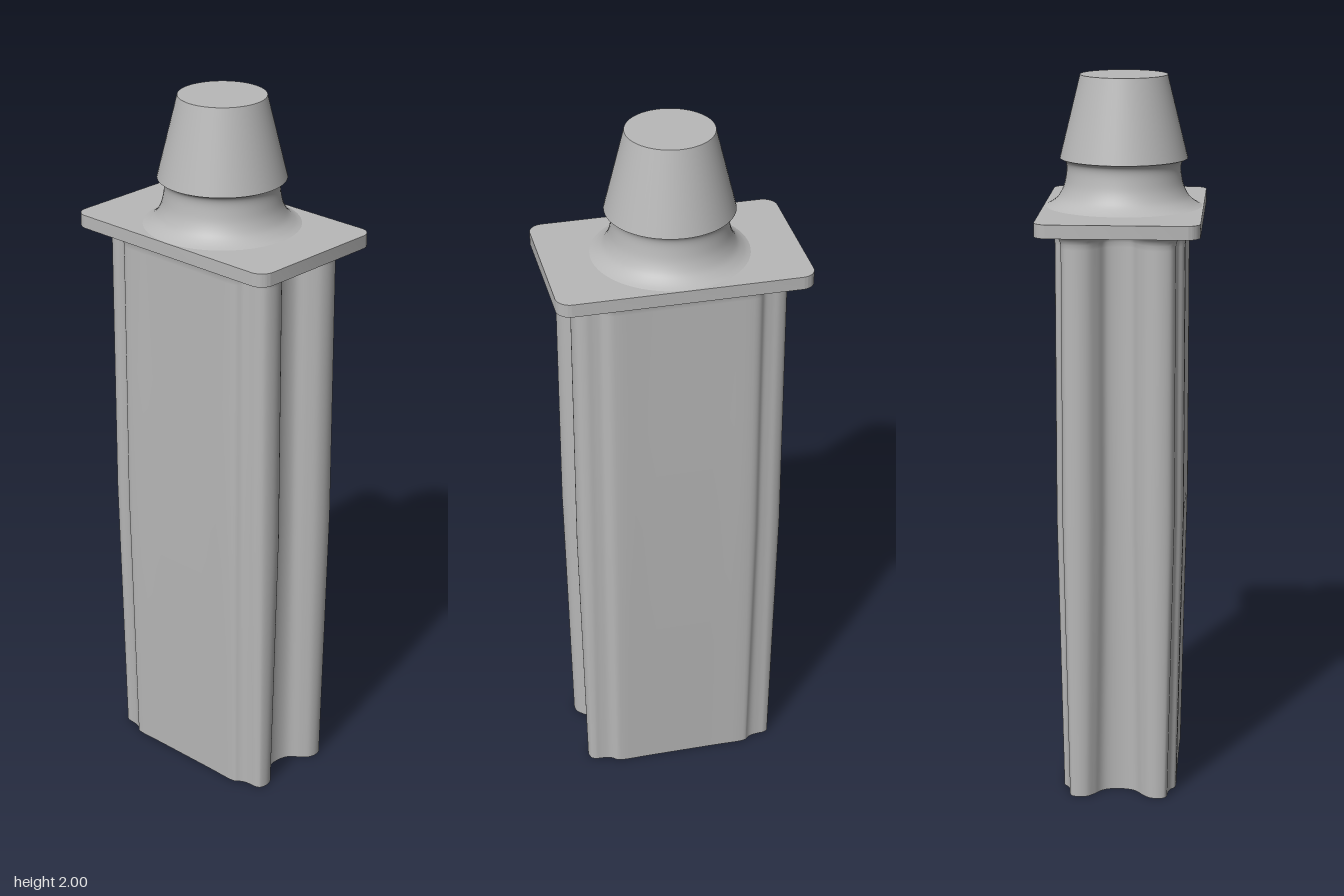
import * as THREE from 'three';
import { toCreasedNormals } from 'three/addons/utils/BufferGeometryUtils.js';

// Quarter outline of the shank as [x, z]: proud front slab, corner lobe, side groove
const QUARTER = [
  [0, 0.175], [0.1, 0.175], [0.19, 0.175], [0.207, 0.17], [0.222, 0.158], [0.242, 0.154],
  [0.265, 0.152], [0.285, 0.14], [0.294, 0.11], [0.287, 0.08], [0.264, 0.055],
  [0.24, 0.036], [0.232, 0.015],
];

// Mirrors the quarter all round and smooths it
function sectionPoints() {
  const right = [...QUARTER, ...QUARTER.slice(1).reverse().map(([x, z]) => [x, -z])];
  const loop = [...right, [0, -0.175], ...right.slice(1).reverse().map(([x, z]) => [-x, z])];
  const curve = new THREE.CatmullRomCurve3(loop.map(([x, z]) => new THREE.Vector3(x, 0, z)), true, 'centripetal');
  return curve.getPoints(loop.length * 5).slice(0, -1);
}

// Moves the outline outward (or inward, if negative) by d
function offsetSection(pts, d) {
  const n = pts.length;
  return pts.map((p, i) => {
    const t = pts[(i + 1) % n].clone().sub(pts[(i + n - 1) % n]).normalize();
    return new THREE.Vector3(p.x - t.z * d, 0, p.z + t.x * d);
  });
}

// Joins closed outlines at rising heights into a smooth wall
function loft(levels, section) {
  const n = section.length, pos = [], idx = [];
  levels.forEach(([y, d]) => offsetSection(section, d).forEach((p) => pos.push(p.x, y, p.z)));
  for (let j = 0; j < levels.length - 1; j++) {
    for (let i = 0; i < n; i++) {
      const a = j * n + i, b = j * n + (i + 1) % n;
      idx.push(a, b, b + n, a, b + n, a + n);
    }
  }
  const g = new THREE.BufferGeometry();
  g.setAttribute('position', new THREE.Float32BufferAttribute(pos, 3));
  g.setIndex(idx);
  g.computeVertexNormals();
  return g;
}

function roundedRect(hw, hh, r) {
  const s = new THREE.Shape();
  s.absarc(hw - r, hh - r, r, 0, Math.PI / 2);
  s.absarc(-hw + r, hh - r, r, Math.PI / 2, Math.PI);
  s.absarc(-hw + r, -hh + r, r, Math.PI, Math.PI * 1.5);
  s.absarc(hw - r, -hh + r, r, Math.PI * 1.5, Math.PI * 2);
  s.closePath();
  return s;
}

export function createModel() {
  const model = new THREE.Group();
  const grey = new THREE.MeshStandardMaterial({ color: 0xb8b8b8 });
  grey.name = 'plain grey';
  const add = (name, geometry) => {
    const mesh = new THREE.Mesh(geometry, grey);
    mesh.name = name;
    model.add(mesh);
  };

  // Shank: drafted lower part, straight upper part, fillet under the plate
  const section = sectionPoints();
  const levels = [[0, -0.016], [0.4, -0.008], [0.8, 0], [1.2, 0], [1.565, 0]];
  for (let i = 1; i <= 6; i++) {
    const a = (i / 6) * Math.PI / 2;
    levels.push([1.57 + 0.035 * Math.sin(a), 0.03 * (1 - Math.cos(a))]);
  }
  add('shank', loft(levels, section));

  // Underside of the shank
  const bottom = new THREE.Shape(offsetSection(section, -0.016).map((p) => new THREE.Vector2(p.x, p.z)));
  add('shankBottom', new THREE.ShapeGeometry(bottom).rotateX(Math.PI / 2));

  // Flange plate
  const plate = new THREE.ExtrudeGeometry(roundedRect(0.347, 0.22, 0.04),
    { depth: 0.037, bevelEnabled: false, curveSegments: 12 });
  plate.rotateX(-Math.PI / 2).translate(0, 1.605, 0);
  add('flangePlate', toCreasedNormals(plate, 0.5));

  // Flared neck
  const neck = new THREE.SplineCurve([
    [0.218, 1.641], [0.2, 1.65], [0.18, 1.668], [0.166, 1.695], [0.159, 1.725], [0.157, 1.75], [0.162, 1.765], [0.174, 1.773],
  ].map(([r, y]) => new THREE.Vector2(r, y)));
  add('neck', new THREE.LatheGeometry(neck.getPoints(28), 64));

  // Tapered head
  add('head', new THREE.CylinderGeometry(0.12, 0.176, 0.227, 64).translate(0, 1.8865, 0));

  return model;
}
